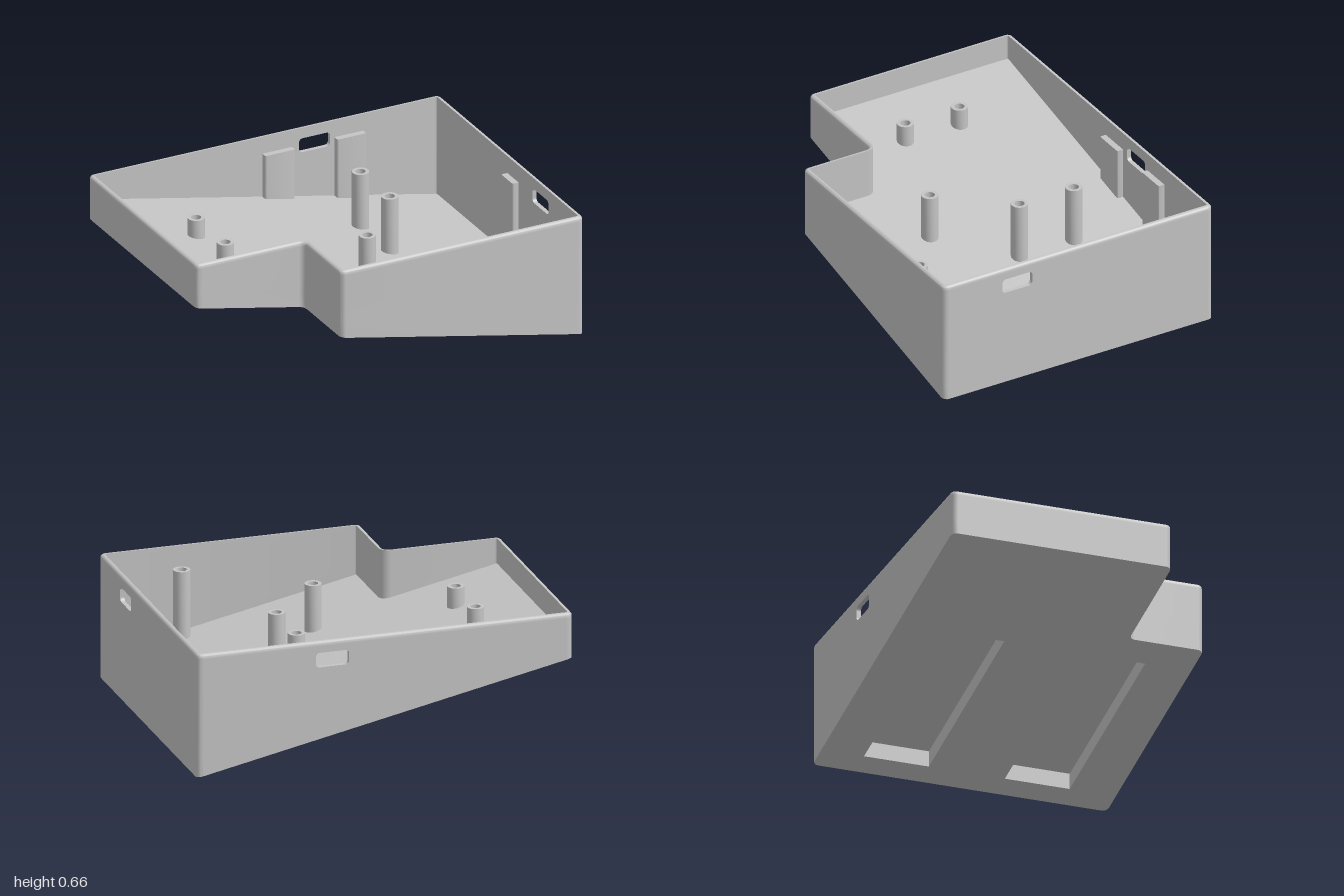
import * as THREE from 'three';
import { toCreasedNormals } from 'three/addons/utils/BufferGeometryUtils.js';

const TOP = 0.66, WALL = 0.023, RADIUS = 0.03, DEPTH = 0.794;
const POCKET = 0.085, FLOOR = 0.11;          // heights above the sloping underside
const PANEL_LOW = 0.46, PANEL_HIGH = 0.635, PANEL_WIDTH = 0.24;
const BACK_SLOT_X = 0.28, RIGHT_SLOT_Z = 0.36;
const POCKET_END = -0.21;
const under = (x) => 0.21 - 0.21 * x;

// L-shaped plan as [x, -z] corners, counter-clockwise; stops frame the slot panels on that side
const half = PANEL_WIDTH / 2;
const corners = [
  { p: [-1, -0.392] },
  { p: [-0.385, -0.392] },
  { p: [-0.385, -DEPTH] },
  { p: [1, -DEPTH], stops: [[1, -RIGHT_SLOT_Z - half], [1, -RIGHT_SLOT_Z + half]] },
  { p: [1, DEPTH], stops: [[BACK_SLOT_X + half, DEPTH], [BACK_SLOT_X - half, DEPTH]] },
  { p: [-1, DEPTH] },
];

// Plan outline moved inward by d, with rounded corners and a guard point at each end of an arc
function outline(d) {
  const points = [];
  const v = corners.map((c) => new THREE.Vector2(...c.p));
  const n = v.length;
  corners.forEach((corner, i) => {
    const a = v[i].clone().sub(v[(i + n - 1) % n]).normalize();
    const b = v[(i + 1) % n].clone().sub(v[i]).normalize();
    const r = RADIUS - d * Math.sign(a.cross(b));
    const q = v[i].clone().add(new THREE.Vector2(-a.y - b.y, a.x + b.x).multiplyScalar(d));
    const centre = q.clone().addScaledVector(b, r).addScaledVector(a, -r);
    points.push(q.clone().addScaledVector(a, -r - 0.004));
    for (let s = 0; s <= 5; s++) {
      const t = (s / 5) * Math.PI / 2;
      points.push(centre.clone().addScaledVector(b, -r * Math.cos(t)).addScaledVector(a, r * Math.sin(t)));
    }
    points.push(q.clone().addScaledVector(b, r + 0.004));
    (corner.stops || []).forEach((stop, k) => {
      const p = new THREE.Vector2(stop[0] - b.y * d, stop[1] + b.x * d);
      p.panelStart = k === 0;
      points.push(p);
    });
  });
  return points;
}

// Wall shell swept through rings of [inset, height], left open where the slot panels sit
function wallGeometry() {
  const profile = [[0, 0], [0, PANEL_LOW], [0, PANEL_HIGH]];
  const round = 0.017;
  for (let s = 0; s <= 4; s++) {
    const t = (s / 4) * Math.PI / 2;
    profile.push([round * (1 - Math.cos(t)), TOP - round * (1 - Math.sin(t))]);
  }
  profile.push([WALL, TOP], [WALL, PANEL_HIGH], [WALL, PANEL_LOW], [WALL, 0]);
  const rings = profile.map(([d, y]) => outline(d).map((p) => {
    const low = under(p.x) + (d === WALL ? FLOOR - 0.01 : POCKET);
    return [p.x, Math.max(y, low), -p.y];
  }));
  const plan = outline(0), n = plan.length, pos = [];
  for (let k = 0; k < rings.length - 1; k++) {
    const panelRow = profile[k][1] + profile[k + 1][1] === PANEL_LOW + PANEL_HIGH;
    for (let i = 0; i < n; i++) {
      if (plan[i].panelStart && panelRow) continue;
      const j = (i + 1) % n;
      const a = rings[k][i], b = rings[k][j], c = rings[k + 1][j], e = rings[k + 1][i];
      pos.push(...a, ...b, ...c, ...a, ...c, ...e);
    }
  }
  const g = new THREE.BufferGeometry();
  g.setAttribute('position', new THREE.Float32BufferAttribute(pos, 3));
  return toCreasedNormals(g, 0.5);
}

// Slab following the slope, between two heights above the underside
function slabGeometry(inset, low, high, holes = []) {
  const shape = new THREE.Shape(outline(inset));
  shape.holes.push(...holes);
  const g = new THREE.ExtrudeGeometry(shape, { depth: high - low, bevelEnabled: false });
  g.rotateX(-Math.PI / 2);
  const p = g.attributes.position;
  for (let i = 0; i < p.count; i++) {
    // the closed end of each foot pocket leans inward as it rises
    if (Math.abs(p.getX(i) - POCKET_END) < 0.001) p.setX(i, POCKET_END + p.getY(i) * 0.5);
    p.setY(i, p.getY(i) + low + under(p.getX(i)));
  }
  return toCreasedNormals(g, 0.5);
}

// Opening of a foot pocket, with a shallow finger notch along its rear edge
function pocketHole(z) {
  return new THREE.Path([
    [POCKET_END, z], [POCKET_END, z + 0.325], [0.87, z + 0.325], [0.87, z - 0.025], [0.58, z - 0.025], [0.53, z],
  ].map(([x, pz]) => new THREE.Vector2(x, -pz)));
}

// Adds a rounded rectangle to a path or shape
function roundedRect(path, x0, x1, y0, y1, r) {
  const q = Math.PI / 2;
  path.absarc(x1 - r, y1 - r, r, 0, q);
  path.absarc(x0 + r, y1 - r, r, q, 2 * q);
  path.absarc(x0 + r, y0 + r, r, 2 * q, 3 * q);
  path.absarc(x1 - r, y0 + r, r, 3 * q, 4 * q);
  return path;
}

// Wall panel with a rounded slot
function panelGeometry() {
  const s = new THREE.Shape([
    [-half, PANEL_LOW], [half, PANEL_LOW], [half, PANEL_HIGH], [-half, PANEL_HIGH],
  ].map((p) => new THREE.Vector2(...p)));
  s.holes.push(roundedRect(new THREE.Path(), -0.088, 0.088, 0.522, 0.6, 0.02));
  return new THREE.ExtrudeGeometry(s, { depth: WALL, bevelEnabled: false, curveSegments: 5 });
}

export function createModel() {
  const group = new THREE.Group();
  const grey = new THREE.MeshStandardMaterial({ color: 0xc4c4c4 });
  grey.name = 'caseGrey';
  const add = (name, geometry, x = 0, y = 0, z = 0) => {
    const mesh = new THREE.Mesh(geometry, grey);
    mesh.name = name;
    mesh.position.set(x, y, z);
    group.add(mesh);
    return mesh;
  };

  // Shell and floor
  add('walls', wallGeometry());
  add('underside', slabGeometry(0, 0, POCKET, [pocketHole(-0.54), pocketHole(0.22)]));
  add('floor', slabGeometry(0.012, POCKET, FLOOR));

  // Slotted wall panels
  add('backSlotPanel', panelGeometry(), BACK_SLOT_X, 0, -DEPTH);
  add('rightSlotPanel', panelGeometry(), 1 - WALL, 0, RIGHT_SLOT_Z).rotation.y = Math.PI / 2;

  // Support ribs against the walls, rounded on the room side
  const ribTop = 0.565;
  const rib = (name, x0, x1, z0, z1) => {
    const y0 = under(x1) + FLOOR - 0.01;
    const g = new THREE.ExtrudeGeometry(roundedRect(new THREE.Shape(), x0, x1, -z1, -z0, 0.01),
      { depth: ribTop - y0, bevelEnabled: false, curveSegments: 4 });
    add(name, toCreasedNormals(g.rotateX(-Math.PI / 2), 0.5), 0, y0, 0);
  };
  rib('backRib', -0.018, 0.152, -0.788, -0.737);
  rib('backRib', 0.392, 0.557, -0.788, -0.737);
  rib('sideRib', 0.942, 0.993, -0.003, 0.12);

  // Hollow screw posts
  const postTop = 0.56;
  const posts = [[-0.647, -0.287], [-0.647, 0.032], [0.333, -0.372], [0.333, -0.052], [0.026, 0.292], [0.592, 0.692]];
  for (const [x, z] of posts) {
    const y0 = under(x) + FLOOR - 0.012;
    const profile = [[0.044, y0], [0.044, postTop], [0.026, postTop], [0.026, y0]]
      .map((p) => new THREE.Vector2(...p));
    add('screwPost', toCreasedNormals(new THREE.LatheGeometry(profile, 24), 0.5), x, 0, z);
  }
  return group;
}
